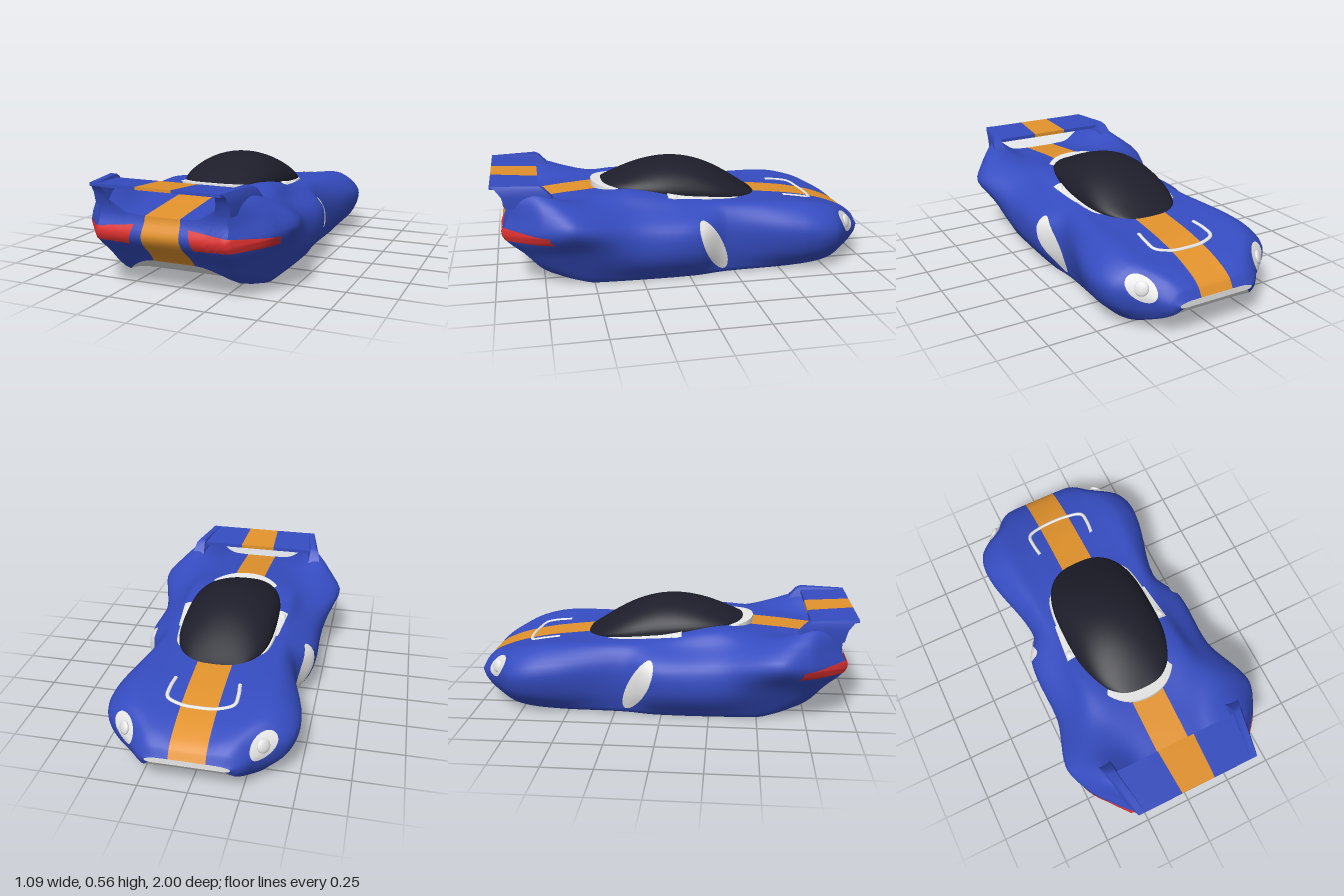
import * as THREE from 'three';
import { toCreasedNormals } from 'three/addons/utils/BufferGeometryUtils.js';

const paint = (name, color) => {
  const m = new THREE.MeshStandardMaterial({ color, side: THREE.DoubleSide });
  m.name = name;
  return m;
};
const V = (x, y, z) => new THREE.Vector3(x, y, z);

// Smooth interpolation of column c in rows keyed by their first number
function smooth(rows, c, z) {
  const n = rows.length;
  let i = 0;
  while (i < n - 2 && z > rows[i + 1][0]) i++;
  const slope = (a, b) => (rows[b][c] - rows[a][c]) / (rows[b][0] - rows[a][0]);
  const tangent = (k) => slope(Math.max(k - 1, 0), Math.min(k + 1, n - 1));
  const h = rows[i + 1][0] - rows[i][0];
  const t = THREE.MathUtils.clamp((z - rows[i][0]) / h, 0, 1), t2 = t * t, t3 = t2 * t;
  return (2 * t3 - 3 * t2 + 1) * rows[i][c] + (t3 - 2 * t2 + t) * h * tangent(i)
    + (3 * t2 - 2 * t3) * rows[i + 1][c] + (t3 - t2) * h * tangent(i + 1);
}

// Surface from a grid of points; pick(i, j) chooses the material of a cell
function grid(name, nu, nv, point, mats, pick = () => 0, wrap = false) {
  const pos = [], cells = mats.map(() => []), cols = wrap ? nv : nv + 1;
  for (let i = 0; i <= nu; i++) for (let j = 0; j < cols; j++) pos.push(...point(i, j).toArray());
  for (let i = 0; i < nu; i++) for (let j = 0; j < nv; j++) {
    const a = i * cols + j, b = i * cols + (j + 1) % cols;
    cells[pick(i, j)].push(a, a + cols, b, b, a + cols, b + cols);
  }
  const geo = new THREE.BufferGeometry();
  geo.setAttribute('position', new THREE.Float32BufferAttribute(pos, 3));
  geo.setIndex(cells.flat());
  let start = 0;
  cells.forEach((c, m) => { geo.addGroup(start, c.length, m); start += c.length; });
  geo.computeVertexNormals();
  const mesh = new THREE.Mesh(geo, mats);
  mesh.name = name;
  return mesh;
}

// Body stations: z, centre height, then x,y of inner deck, fender top, widest, lower side, sill
const STATIONS = [
  [-1, .185, .12, .185, .17, .182, .205, .17, .2, .16, .18, .155],
  [-.97, .23, .14, .232, .2, .225, .25, .18, .245, .14, .22, .115],
  [-.9, .27, .18, .28, .25, .272, .315, .2, .305, .13, .27, .075],
  [-.78, .31, .2, .32, .34, .325, .45, .235, .43, .13, .34, .035],
  [-.6, .345, .22, .355, .36, .36, .472, .26, .45, .12, .36, .015],
  [-.2, .385, .25, .38, .33, .365, .382, .28, .385, .13, .355, .005],
  [-.03, .395, .26, .395, .34, .365, .455, .28, .46, .14, .37, 0],
  [.3, .435, .28, .445, .36, .38, .46, .29, .465, .15, .37, 0],
  [.6, .42, .23, .42, .41, .438, .545, .34, .46, .2, .36, .005],
  [.76, .405, .21, .41, .375, .495, .49, .335, .42, .18, .35, .02],
  [.86, .395, .2, .405, .34, .488, .41, .325, .38, .17, .33, .03],
  [.95, .385, .19, .395, .31, .46, .335, .31, .33, .17, .30, .05],
];
const FLOOR = [[-1, .155], [-.97, .12], [-.9, .08], [-.78, .04], [-.6, .015], [.6, .012], [.76, .05], [.86, .09], [.95, .14]];
const TAIL = [[0, .62], [.07, .75], [.18, .85], [.25, .93], [.3, .95], [.37, .92], [.46, .935], [.53, .98]];
const tailZ = (y) => smooth(TAIL, 1, y);

// Half cross-section of 33 points: 0 top centre, 16 widest, 26 sill, 32 floor centre
function section(z) {
  const f = (c) => smooth(STATIONS, c, z), yc = f(1), floor = smooth(FLOOR, 1, z);
  const spline = new THREE.CatmullRomCurve3(
    [V(.09, yc, 0), ...[2, 4, 6, 8, 10].map((c) => V(f(c), f(c + 1), 0))]);
  const pts = [V(0, yc, 0)];
  for (let k = 0; k <= 25; k++) pts.push(spline.getPoint(k / 25));
  const sill = pts[26];
  for (let k = 1; k <= 5; k++) {
    pts.push(V(THREE.MathUtils.lerp(sill.x, .11, k / 5),
      THREE.MathUtils.lerp(sill.y, floor, Math.sin(k * Math.PI / 10)), 0));
  }
  pts.push(V(0, floor, 0));
  // The tail leans with height
  for (const p of pts) p.z = z < .5 ? z : .5 + (z - .5) * (tailZ(p.y) - .5) / .45;
  return pts;
}

export function createModel() {
  const car = new THREE.Group();
  car.name = 'raceCar';
  const blue = paint('bodyBlue', 0x354cc0), orange = paint('stripeOrange', 0xe2922c);
  const white = paint('trimWhite', 0xf2f2f2), dark = paint('glassDark', 0x1d1e2a);
  const red = paint('lampRed', 0xdc3030);
  const add = (m) => { car.add(m); return m; };
  const mirrored = (p, s) => V(p.x * s, p.y, p.z);

  // Body shell with stripe and floor
  const STEP = 8, rows = [];
  STATIONS.forEach((st, i) => {
    const next = STATIONS[i + 1];
    if (next) for (let k = 0; k < STEP; k++) rows.push(section(st[0] + (next[0] - st[0]) * k / STEP));
    else rows.push(section(st[0]));
  });
  const body = add(grid('body', rows.length - 1, 64,
    (i, j) => (j <= 32 ? rows[i][j] : mirrored(rows[i][64 - j], -1)), [blue, orange, white],
    (i, j) => (j < 1 || j > 62 ? 1 : j >= 26 && j < 38 ? 2 : 0), true));

  // Tail panel and nose opening
  const cap = (pts, zOf) => (r, j) => {
    const k = Math.abs(j - 16), p = pts[k].clone().lerp(pts[32 - k], r / 12);
    return V(p.x * Math.sign(j - 16), p.y, zOf(p.y));
  };
  const tail = add(grid('tailPanel', 12, 32, cap(rows.at(-1), tailZ), [blue, orange],
    (r, j) => (j === 15 || j === 16 ? 1 : 0)));
  add(grid('noseOpening', 12, 32, cap(rows[0], () => -1), [white]));

  // Thin plates laid on the body: flat points are cast along dir
  body.updateMatrixWorld(); tail.updateMatrixWorld();
  const caster = new THREE.Raycaster();
  const settle = (p, dir, lift = .007) => {
    caster.set(p.clone().addScaledVector(dir, -2), dir);
    const hit = caster.intersectObjects([body, tail])[0];
    return (hit ? hit.point : p).clone().addScaledVector(dir, -lift);
  };
  const quad = (name, mat, [a, b, c, d], dir, s, nu = 16, nv = 8) => add(grid(name, nu, nv, (i, j) => {
    const p = a.clone().lerp(b, i / nu).lerp(d.clone().lerp(c, i / nu), j / nv);
    return settle(mirrored(p, s), mirrored(dir, s));
  }, [mat]));
  const oval = (name, mat, centre, u, v, dir, s) => add(grid(name, 6, 24, (i, j) => {
    const t = j * Math.PI / 12, r = i / 6;
    const p = centre.clone().addScaledVector(u, r * Math.cos(t)).addScaledVector(v, r * Math.sin(t));
    return settle(mirrored(p, s), mirrored(dir, s));
  }, [mat], () => 0, true));

  // Canopy dome and its surround
  const dome = (name, mat, z0, z1, half, height) => add(grid(name, 40, 24, (i, j) => {
    const s = -Math.cos(i * Math.PI / 40), z = (z0 + z1) / 2 + s * (z1 - z0) / 2;
    const w = half * Math.pow(Math.max(0, 1 - Math.pow(Math.abs(s), s < 0 ? 3.2 : 2.6)), .45);
    const a = j * Math.PI / 24;
    const base = .398 + .09 * z + .09 * z * Math.max(z, 0);
    const skirt = j === 0 || j === 24 ? -.04 : 0;
    return V(-w * Math.cos(a), base + skirt + height * Math.pow(Math.max(0, 1 - s * s), 1.2) * Math.sin(a), z);
  }, [mat]));
  dome('canopyTrim', white, -.455, .475, .27, .025);
  dome('canopy', dark, -.44, .43, .256, .164);

  // Rear wing in three panels
  const wing = (name, mat, x0, x1) => {
    const geo = new THREE.BoxGeometry(x1 - x0, .02, .24, 4, 1, 8).translate((x0 + x1) / 2, 0, .88);
    const p = geo.attributes.position;
    for (let i = 0; i < p.count; i++) {
      const f = (p.getZ(i) - .76) / .24;
      p.setXYZ(i, p.getX(i) * (1.07 - .12 * f), p.getY(i) * (1 - .3 * f) + .508 + .02 * f, p.getZ(i));
    }
    geo.computeVertexNormals();
    const m = add(new THREE.Mesh(geo, mat));
    m.name = name;
  };
  wing('wingRight', blue, -.345, -.095);
  wing('wingStripe', orange, -.095, .095);
  wing('wingLeft', blue, .095, .345);

  // Fin layers: y, front z, rear z, outer x at front, outer x at rear, thickness
  const FIN = [[.42, .66, .93, .405, .345, .08], [.48, .7, .945, .4, .345, .065],
    [.52, .735, .975, .388, .34, .05], [.536, .76, 1, .372, .33, .035], [.536, .88, .88, .34, .34, 0]];

  for (const s of [1, -1]) {
    const side = s > 0 ? 'Left' : 'Right';
    const fin = add(grid('wingFin' + side, FIN.length - 1, 4, (i, j) => {
      const [y, zf, zr, xf, xr, t] = FIN[i];
      return V(s * ((j === 0 || j === 3 ? xf : xr) - (j > 1 ? t : 0)), y, j === 0 || j === 3 ? zf : zr);
    }, [blue], () => 0, true));
    fin.geometry = toCreasedNormals(fin.geometry, .8);

    // Tail lamps wrap round the corners
    quad('tailLamp' + side, red, [V(.14, .345, .95), V(.505, .305, .95), V(.49, .262, .95), V(.165, .25, .95)],
      V(0, 0, -1), s, 24);
    // Air intake on the flank
    oval('sideIntake' + side, white, V(.5, .175, -.118), V(0, .145, .07), V(0, -.015, .05), V(-1, 0, 0), s);
    // Cockpit side vent with its small pod
    quad('cockpitVent' + side, white, [V(.24, .5, -.12), V(.23, .5, .1), V(.298, .5, .1), V(.275, .5, -.12)],
      V(0, -1, 0), s);
    const pod = add(new THREE.Mesh(new THREE.SphereGeometry(1, 16, 10), white));
    pod.name = 'ventPod' + side;
    pod.scale.set(.02, .018, .028);
    pod.position.set(s * .272, .405, .07);

    // Headlamp surround and bulb
    const dir = V(-.66, -.28, .68).normalize();
    const u = V(.68, 0, .66).normalize(), v = V(0, 1, 0).addScaledVector(dir, -dir.y).normalize();
    const lamp = V(.33, .235, -.868);
    oval('headlampSurround' + side, white, lamp, u.clone().multiplyScalar(.078).addScaledVector(v, .025),
      v.clone().multiplyScalar(.06), dir, s);
    const bulb = add(new THREE.Mesh(new THREE.SphereGeometry(.036, 20, 12), white));
    bulb.name = 'headlamp' + side;
    bulb.scale.z = .4;
    bulb.position.copy(settle(mirrored(lamp, s), mirrored(dir, s)));
    bulb.lookAt(bulb.position.clone().sub(mirrored(dir, s)));
  }

  // Hood vent rim, half sunk
  const half = [[.163, -.57], [.172, -.65], [.165, -.715], [.09, -.745]];
  const rim = [...half, [0, -.752], ...half.map(([x, z]) => [-x, z]).reverse()]
    .map(([x, z]) => settle(V(x, .5, z), V(0, -1, 0), -.003));
  const vent = add(new THREE.Mesh(new THREE.TubeGeometry(new THREE.CatmullRomCurve3(rim), 60, .011, 8), white));
  vent.name = 'hoodVentRim';
  return car;
}
